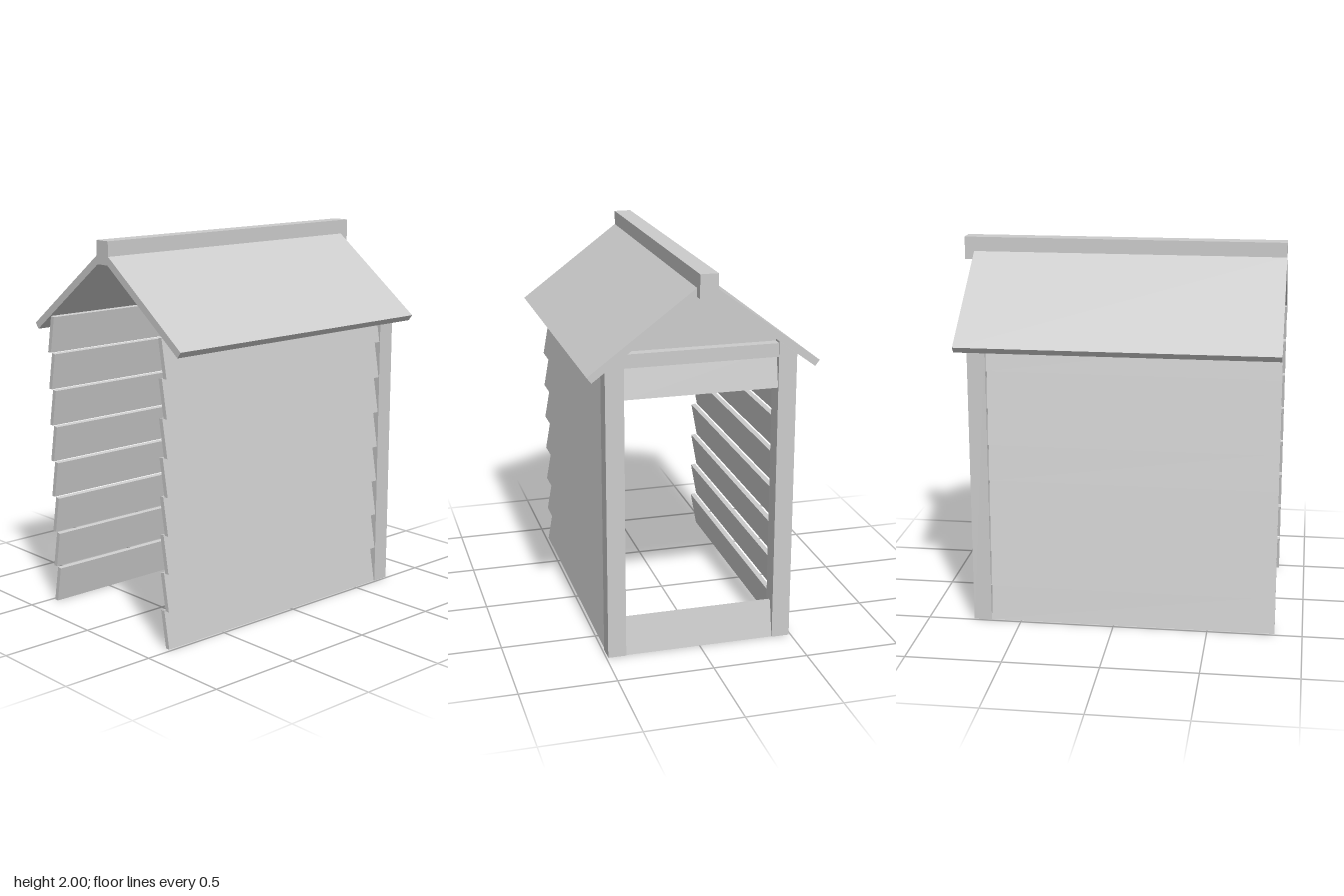
import * as THREE from 'three';

const material = new THREE.MeshStandardMaterial({ color: 0xcccccc, flatShading: true, side: THREE.DoubleSide });

// Extrude a (z, y) outline along x between x0 and x1
function prism(name, outline, x0, x1) {
  const shape = new THREE.Shape(outline.map(([z, y]) => new THREE.Vector2(-z, y)));
  const geometry = new THREE.ExtrudeGeometry(shape, { depth: x1 - x0, bevelEnabled: false });
  geometry.rotateY(Math.PI / 2);
  geometry.translate(x0, 0, 0);
  const mesh = new THREE.Mesh(geometry, material);
  mesh.name = name;
  return mesh;
}

function box(name, x0, x1, y0, y1, halfZ) {
  const mesh = new THREE.Mesh(new THREE.BoxGeometry(x1 - x0, y1 - y0, 2 * halfZ), material);
  mesh.position.set((x0 + x1) / 2, (y0 + y1) / 2, 0);
  mesh.name = name;
  return mesh;
}

// Leaning clapboard section: the bottom edge stands further out than the top
function clapboard(outer, y0, y1) {
  const lean = 0.035, thick = 0.025;
  return [[outer, y0], [outer - lean, y1], [outer - lean - thick, y1 - 0.004], [outer - thick, y0]];
}

export function createModel() {
  const model = new THREE.Group();
  model.name = 'shelter';

  const back = -0.855, postX0 = 0.66, postX1 = 0.755;
  const pitch = 0.743;
  const underside = (z) => 1.909 - pitch * Math.abs(z);

  for (const side of [1, -1]) {
    const label = side > 0 ? 'front' : 'back';
    const mirror = (pts) => pts.map(([z, y]) => [z * side, y]);

    // Corner post, cut to the roof slope
    model.add(prism(label + 'Post', mirror([
      [0.395, 0], [0.49, 0], [0.49, underside(0.49)], [0.395, underside(0.395)],
    ]), postX0, postX1));

    // Overlapping wall boards
    const wall = new THREE.Group();
    wall.name = label + 'Wall';
    const step = 0.1965;
    for (let i = 0; i < 8; i++) {
      wall.add(prism('wallBoard', mirror(clapboard(0.485, i * step, (i + 1) * step)), back, postX0));
    }
    model.add(wall);

    // Sloping roof panel
    model.add(prism(label + 'RoofPanel', mirror([
      [0.04, 1.928], [0.59, 1.52], [0.567, 1.49], [0.04, underside(0.04)],
    ]), back, 0.805));
  }

  // Ridge beam
  model.add(box('ridgeBeam', back, 0.855, 1.88, 2, 0.046));

  // Gable panel and tie beam at the open doorway end
  const gableZ = 0.395;
  model.add(prism('gablePanel', [
    [-gableZ, 1.56], [gableZ, 1.56], [gableZ, underside(gableZ)],
    [0.03, underside(0.03)], [-0.03, underside(0.03)], [-gableZ, underside(gableZ)],
  ], 0.68, 0.7));
  model.add(box('tieBeam', 0.69, 0.75, 1.535, 1.605, gableZ));

  // Leaning boards at the bottom and top of the doorway
  for (const [name, y0, y1] of [['doorwayBottomBoard', 0, 0.195], ['doorwayTopBoard', 1.375, 1.57]]) {
    const board = prism(name, clapboard(0.75, y0, y1), -gableZ, gableZ);
    board.rotation.y = Math.PI / 2;
    model.add(board);
  }

  return model;
}
